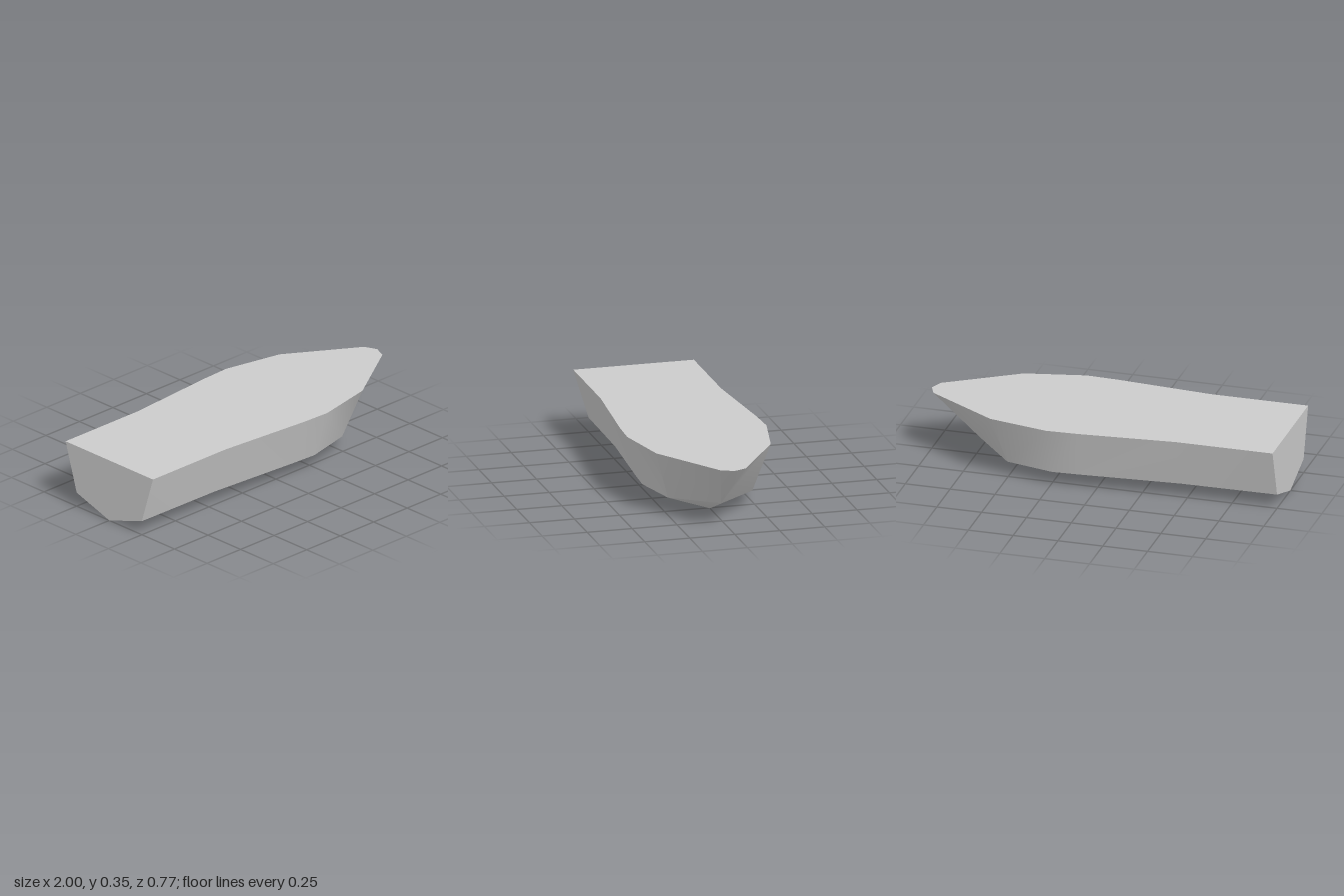
import * as THREE from 'three';
import { toCreasedNormals } from 'three/addons/utils/BufferGeometryUtils.js';

const DECK_Y = 0.355;

// Stations from stern to bow: deck edge [x, z], chine [x, y, z], keel [x, y]
const stations = [
  { deck: [-1, 0.335], chine: [-1, 0.08, 0.25], keel: [-1, 0] },
  { deck: [-0.46, 0.335], chine: [-0.46, 0.08, 0.255], keel: [-0.46, 0] },
  { deck: [0.08, 0.38], chine: [0.08, 0.08, 0.292], keel: [0.08, 0] },
  { deck: [0.25, 0.387], chine: [0.24, 0.08, 0.3], keel: [0.24, 0] },
  { deck: [0.58, 0.318], chine: [0.51, 0.08, 0.235], keel: [0.51, 0] },
  { deck: [0.97, 0.07], chine: [0.73, 0.095, 0], keel: [0.73, 0.095] },
  { deck: [1, 0], chine: [0.73, 0.095, 0], keel: [0.73, 0.095] },
].map(({ deck, chine, keel }) => ({
  deck: new THREE.Vector3(deck[0], DECK_Y, deck[1]),
  centre: new THREE.Vector3(deck[0], DECK_Y, 0),
  chine: new THREE.Vector3(...chine),
  keel: new THREE.Vector3(keel[0], keel[1], 0),
}));

// Builds a mesh from quads on the +z half, mirrored to -z; collapsed triangles are skipped
function mirroredMesh(name, quads) {
  const positions = [];
  const addTriangle = (a, b, c) => {
    if (new THREE.Triangle(a, b, c).getArea() < 1e-7) return;
    for (const p of [a, b, c]) positions.push(p.x, p.y, p.z);
    for (const p of [a, c, b]) positions.push(p.x, p.y, -p.z);
  };
  for (const [a, b, c, d] of quads) {
    addTriangle(a, b, c);
    addTriangle(a, c, d);
  }
  const geometry = new THREE.BufferGeometry();
  geometry.setAttribute('position', new THREE.Float32BufferAttribute(positions, 3));
  const mesh = new THREE.Mesh(
    toCreasedNormals(geometry, THREE.MathUtils.degToRad(40)),
    new THREE.MeshStandardMaterial({ color: 0xcccccc })
  );
  mesh.name = name;
  return mesh;
}

// Quads running along the hull between two named lines
function strip(upper, lower) {
  return stations.slice(1).map((next, i) => {
    const s = stations[i];
    return [s[upper], s[lower], next[lower], next[upper]];
  });
}

export function createModel() {
  const boat = new THREE.Group();
  boat.name = 'boatHull';
  const stern = stations[0];

  boat.add(
    // Flared sides and shallow V bottom meeting at the chine
    mirroredMesh('hullShell', [...strip('deck', 'chine'), ...strip('chine', 'keel')]),
    // Flat deck closing the top
    mirroredMesh('deck', strip('centre', 'deck')),
    // Flat stern panel
    mirroredMesh('transom', [[stern.centre, stern.keel, stern.chine, stern.deck]])
  );
  return boat;
}
